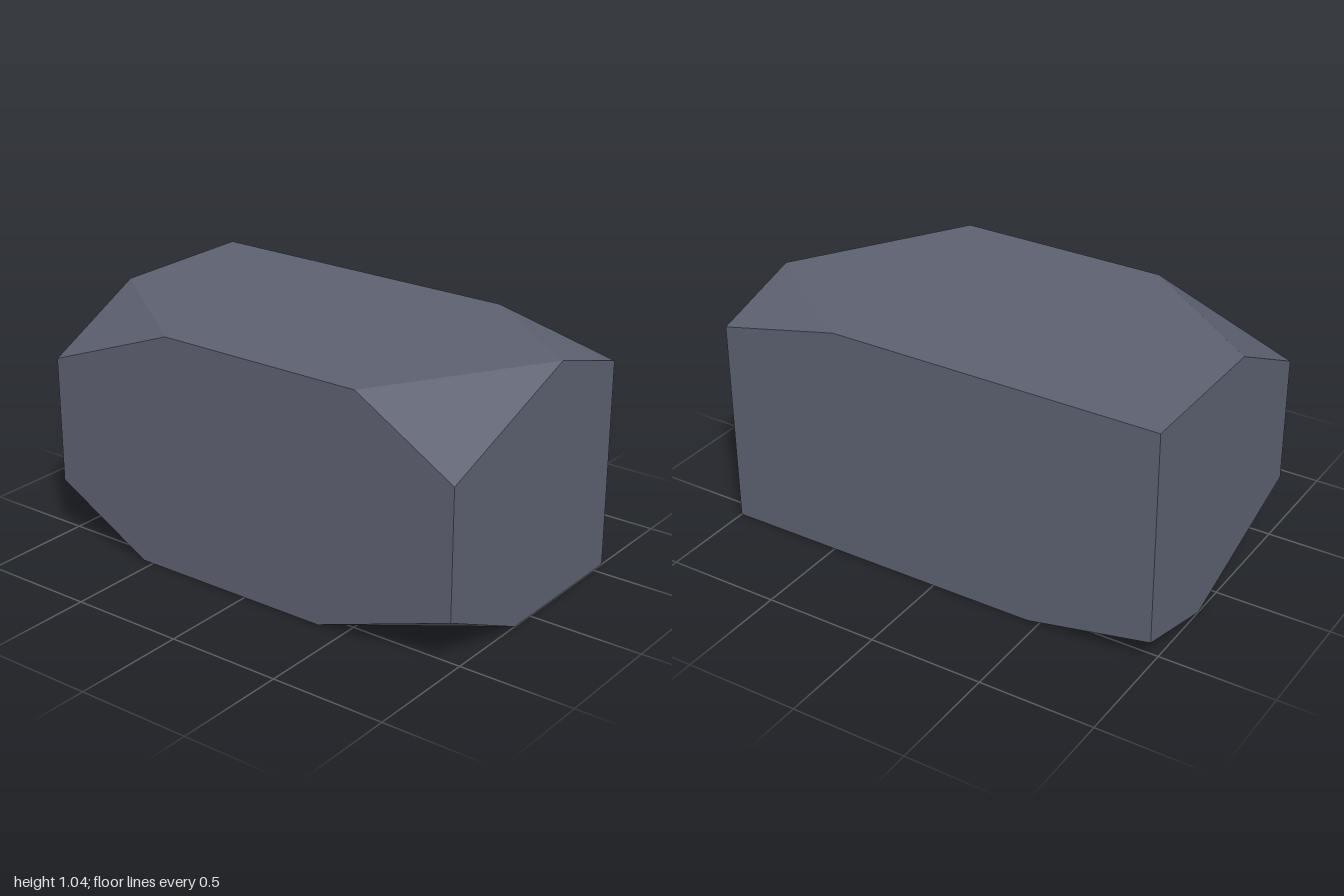
import * as THREE from 'three';
import { ConvexGeometry } from 'three/addons/geometries/ConvexGeometry.js';

const X = 1, H = 1.037, Z = 0.57;

// Uncut corners of the block
const sharpCorners = [[-X, H, -Z], [X, 0, -Z]];

// Chipped corners: the corner itself, then where the cut meets its x, y and z edges
const chippedCorners = [
  { corner: [X, H, Z], cut: [0.55, 0.77, -0.16] },
  { corner: [-X, H, Z], cut: [-0.385, 0.805, 0.11] },
  { corner: [X, H, -Z], cut: [0.45, 0.913, -0.16] },
  { corner: [-X, 0, Z], cut: [-0.55, 0.25, -0.16] },
  { corner: [X, 0, Z], cut: [0.375, 0.215, 0.11] },
  { corner: [-X, 0, -Z], cut: [-0.45, 0.11, -0.16] },
];

export function createModel() {
  const slate = new THREE.MeshStandardMaterial({ color: 0x5c6070 });
  slate.name = 'slate grey';

  const points = sharpCorners.map((p) => new THREE.Vector3(...p));
  for (const { corner, cut } of chippedCorners) {
    // Slide the corner along each of its three edges in turn
    for (let axis = 0; axis < 3; axis++) {
      points.push(new THREE.Vector3(...corner).setComponent(axis, cut[axis]));
    }
  }

  // Faceted stone block
  const stone = new THREE.Mesh(new ConvexGeometry(points), slate);
  stone.name = 'stoneBlock';

  const model = new THREE.Group();
  model.name = 'rock';
  model.add(stone);
  return model;
}
